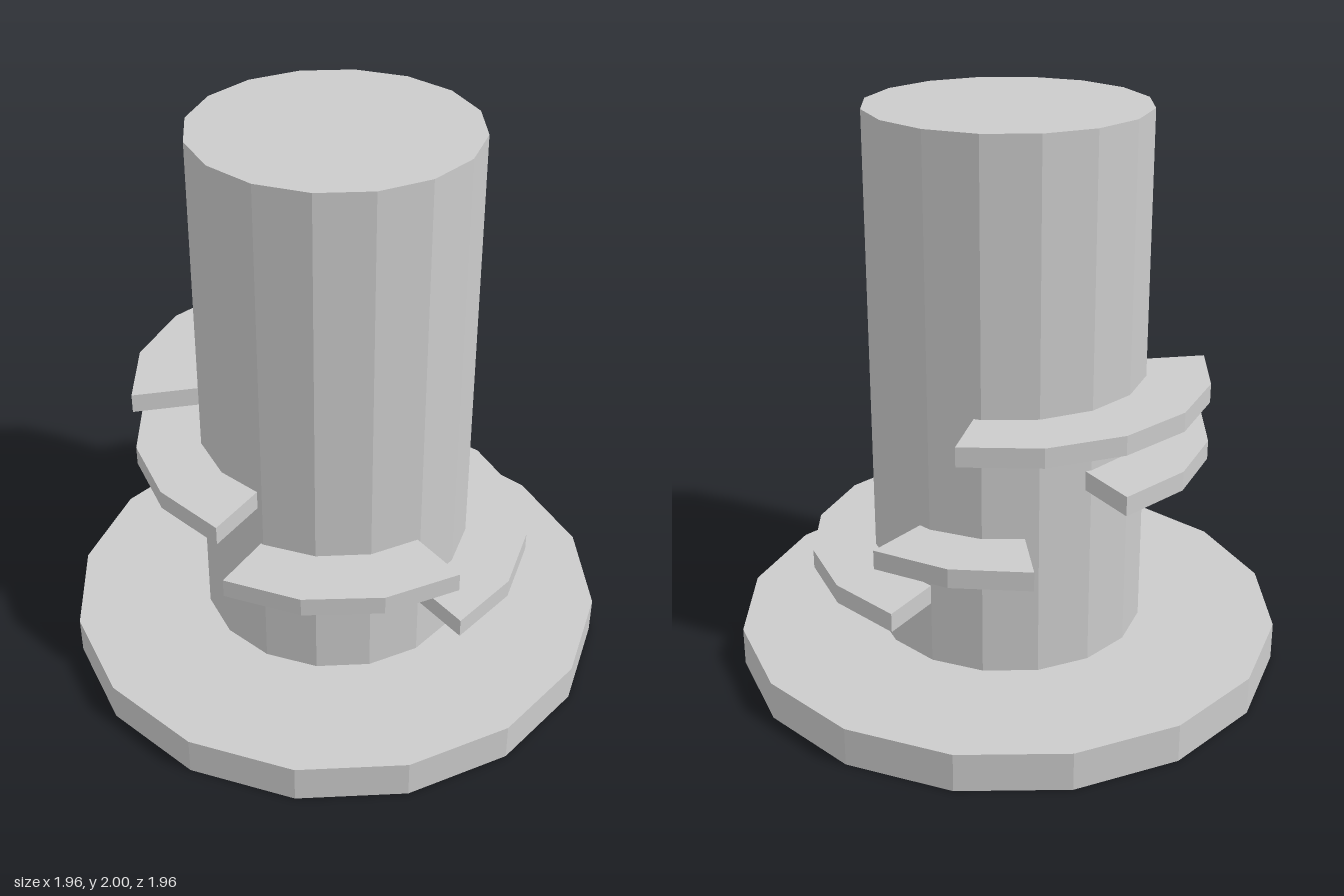
import * as THREE from 'three';

const SIDES = 16;
const STEP = 360 / SIDES; // every ledge facet spans one side of the column
const COLUMN_R = 0.486;
const BASE_R = 0.978, BASE_H = 0.137;
const LEDGE_IN = 0.48, LEDGE_OUT = 0.711, LEDGE_H = 0.068;

const material = new THREE.MeshStandardMaterial({ color: 0xcccccc, flatShading: true });

// Upright faceted cylinder standing between two heights
function drum(name, radius, y0, y1) {
  const geo = new THREE.CylinderGeometry(radius, radius, y1 - y0, SIDES);
  geo.translate(0, (y0 + y1) / 2, 0);
  const mesh = new THREE.Mesh(geo, material);
  mesh.name = name;
  return mesh;
}

// Faceted ring sector; angles in degrees from the front (+z) towards +x
function ledge(name, start, segments, y) {
  const at = (r, i) => {
    const a = THREE.MathUtils.degToRad(start + i * STEP);
    return new THREE.Vector2(r * Math.sin(a), -r * Math.cos(a));
  };
  const points = [];
  for (let i = 0; i <= segments; i++) points.push(at(LEDGE_OUT, i));
  for (let i = segments; i >= 0; i--) points.push(at(LEDGE_IN, i));
  const geo = new THREE.ExtrudeGeometry(new THREE.Shape(points), { depth: LEDGE_H, bevelEnabled: false });
  geo.rotateX(-Math.PI / 2);
  const mesh = new THREE.Mesh(geo, material);
  mesh.name = name;
  mesh.position.y = y;
  return mesh;
}

export function createModel() {
  const model = new THREE.Group();
  model.name = 'columnWithLedges';

  model.add(drum('base', BASE_R, 0, BASE_H));
  model.add(drum('column', COLUMN_R, BASE_H, 2));

  // Ledges climbing around the column: level, start angle, facets
  const ledges = [
    ['lowerLedge', 0, 0, 5],
    ['secondLedgeShort', 1, 107, 2],
    ['secondLedgeLong', 1, 291.3, 3],
    ['thirdLedge', 2, 177.5, 5],
    ['topLedge', 3, 132, 5],
  ];
  for (const [name, level, start, segments] of ledges) {
    model.add(ledge(name, start, segments, 0.362 + level * 0.2145));
  }
  return model;
}
